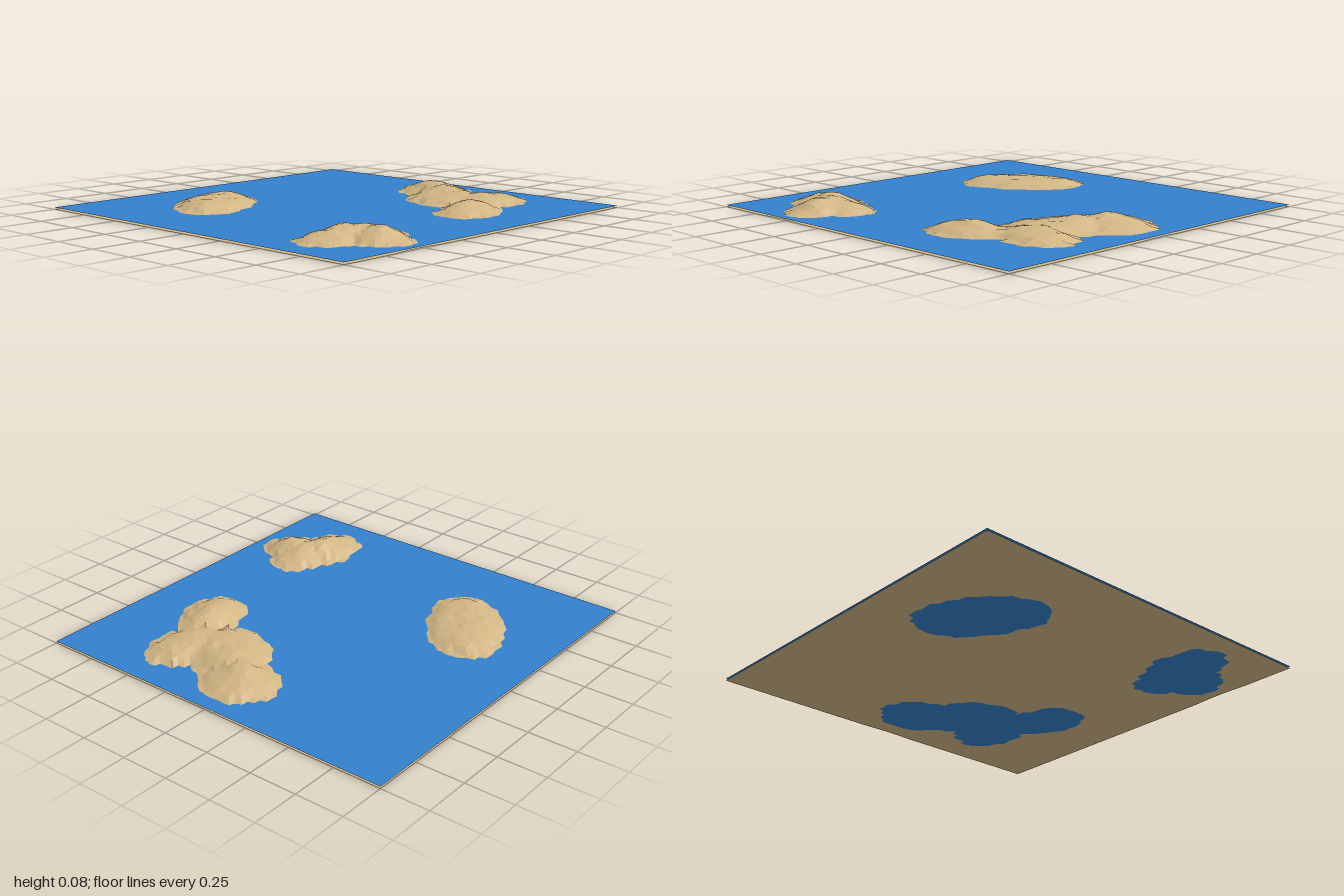
import * as THREE from 'three';

const WATER = 0.01;
const CELLS = 50;

// Land as overlapping ellipses: x, z, long radius, short radius, turn
const lands = [
  [-0.38, -0.49, 0.32, 0.19, -0.64],
  [-0.66, 0.62, 0.2, 0.15, 0],
  [-0.48, 0.68, 0.17, 0.14, 0],
  [-0.54, 0.79, 0.15, 0.14, 0],
  [0.73, 0.03, 0.18, 0.2, 0],
  [0.56, 0.25, 0.26, 0.2, -0.9],
  [0.64, 0.46, 0.21, 0.16, 0],
  [0.33, 0.58, 0.21, 0.15, -0.3],
];

// Hills: x, z, height, radius
const hills = [
  [-0.59, 0.66, 0.043, 0.11],
  [-0.53, 0.8, 0.03, 0.08],
  [0.34, 0.56, 0.026, 0.09],
  [0.67, 0.04, 0.034, 0.09],
  [0.63, 0.2, 0.024, 0.08],
  [0.62, 0.4, 0.012, 0.12],
];

// Repeatable noise in -1..1 for a grid point
function hash(i, j) {
  const s = Math.sin(i * 127.1 + j * 311.7) * 43758.5453;
  return (s - Math.floor(s)) * 2 - 1;
}

// Approximate distance inside an ellipse, negative outside it
function shoreDistance([cx, cz, a, b, turn], x, z) {
  const c = Math.cos(turn), s = Math.sin(turn);
  const u = ((x - cx) * c + (z - cz) * s) / a;
  const v = ((z - cz) * c - (x - cx) * s) / b;
  const k = Math.hypot(u, v);
  return (k * (1 - k)) / Math.max(Math.hypot(u / a, v / b), 1e-4) + (k < 1e-4 ? b : 0);
}

function groundHeight(x, z, i, j) {
  const shore = Math.max(...lands.map((land) => shoreDistance(land, x, z)));
  // Ragged coastline
  const d = shore + (Math.abs(shore) < 0.05 ? 0.013 * hash(i, j) : 0);

  // Shallow underwater skirt
  if (d < 0) return WATER * Math.max(0, 1 + d / 0.12);

  // Plateau with hills, broad blocks and fine roughness
  let h = 0.045;
  for (const [hx, hz, top, r] of hills) {
    h += top * Math.exp(-((x - hx) ** 2 + (z - hz) ** 2) / (r * r));
  }
  h += 0.004 * hash(Math.floor(i / 2) + 90, Math.floor(j / 3)) + 0.003 * hash(j, i);
  return WATER + h * (1 - Math.exp(-d / 0.07));
}

export function createModel() {
  const model = new THREE.Group();
  model.name = 'islands';

  // Sea bed and islands as one faceted sheet
  const ground = new THREE.PlaneGeometry(2, 2, CELLS, CELLS).rotateX(-Math.PI / 2);
  const pos = ground.attributes.position;
  for (let k = 0; k < pos.count; k++) {
    const i = k % (CELLS + 1), j = Math.floor(k / (CELLS + 1));
    pos.setY(k, groundHeight(pos.getX(k), pos.getZ(k), i, j));
  }
  ground.computeVertexNormals();
  const terrain = new THREE.Mesh(ground, new THREE.MeshStandardMaterial({
    color: 0xd2b684, flatShading: true, side: THREE.DoubleSide,
  }));
  terrain.name = 'terrain';

  // Flat sea surface
  const water = new THREE.Mesh(
    new THREE.PlaneGeometry(2, 2).rotateX(-Math.PI / 2),
    new THREE.MeshStandardMaterial({ color: 0x3380cc, side: THREE.DoubleSide }),
  );
  water.name = 'water';
  water.position.y = WATER;

  model.add(terrain, water);
  return model;
}
